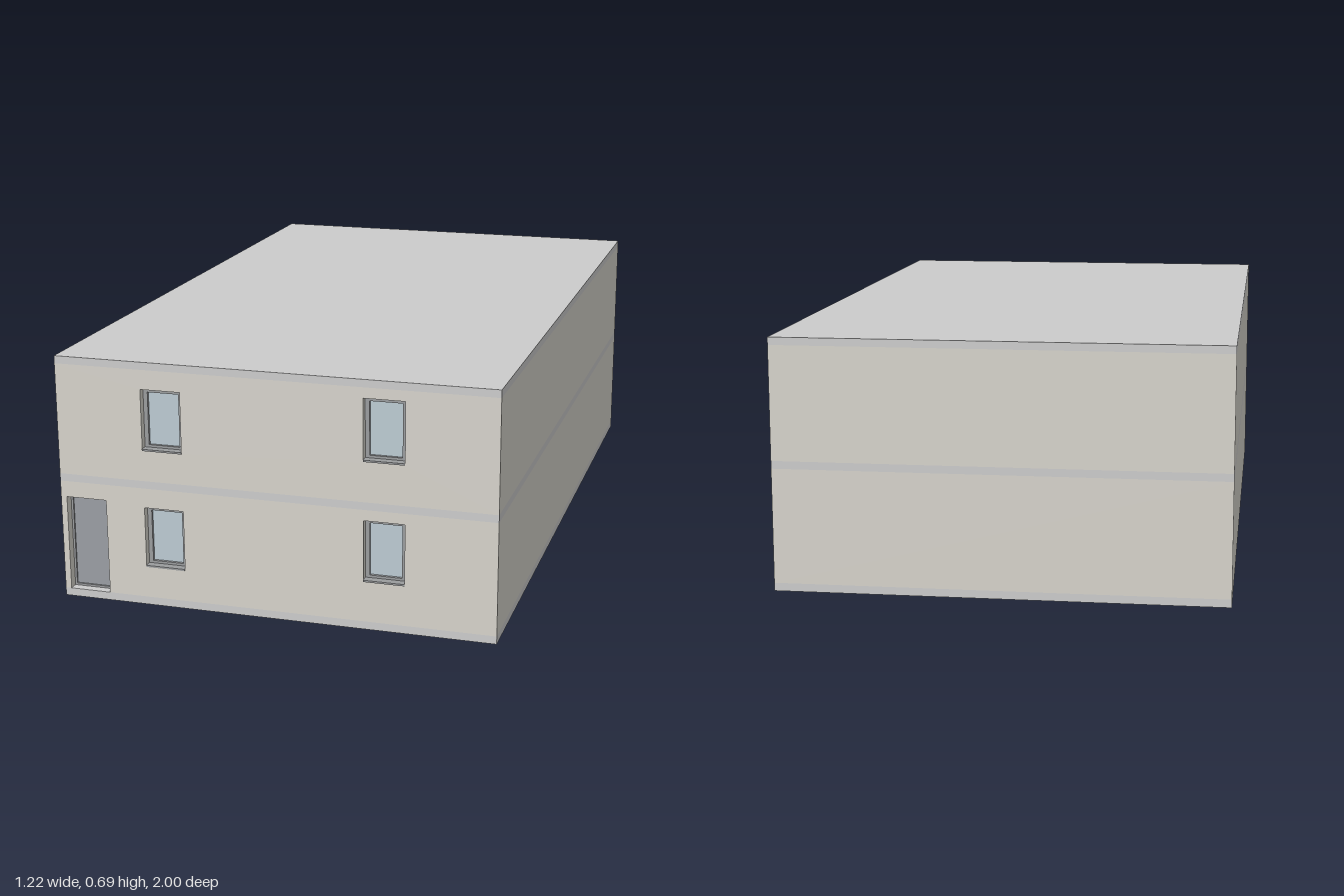
import * as THREE from 'three';

const W = 0.61, FRONT = 0.997, BACK = -1, T = 0.05;
const mat = (color) => new THREE.MeshStandardMaterial({ color });

export function createModel() {
  const model = new THREE.Group();
  const slabMat = mat(0xcccccc), wallMat = mat(0xd6d3cb), frameMat = mat(0x9a9c9e);
  const glassMat = mat(0xbccbd3), doorMat = mat(0x9a9ea4);

  // Box given by its two opposite corners
  const box = (name, m, x0, x1, y0, y1, z0, z1, parent = model) => {
    const mesh = new THREE.Mesh(new THREE.BoxGeometry(x1 - x0, y1 - y0, z1 - z0), m);
    mesh.position.set((x0 + x1) / 2, (y0 + y1) / 2, (z0 + z1) / 2);
    mesh.name = name;
    parent.add(mesh);
  };

  const rect = (Type, x0, x1, y0, y1) => new Type([
    new THREE.Vector2(x0, y0), new THREE.Vector2(x1, y0),
    new THREE.Vector2(x1, y1), new THREE.Vector2(x0, y1),
  ]);

  // Flat panel with rectangular holes, its front face at z
  const panel = (name, m, shape, depth, z, parent = model) => {
    const mesh = new THREE.Mesh(new THREE.ExtrudeGeometry(shape, { depth, bevelEnabled: false }), m);
    mesh.position.z = z - depth;
    mesh.name = name;
    parent.add(mesh);
  };

  // Floor slabs and roof
  box('groundSlab', slabMat, -W, W, 0, 0.022, BACK, FRONT);
  box('middleSlab', slabMat, -W, W, 0.335, 0.356, BACK, FRONT);
  box('roofSlab', slabMat, -W, W, 0.666, 0.687, BACK, FRONT);

  const door = { x0: -0.593, x1: -0.477, y0: 0.022, y1: 0.29 };
  const storeys = [
    { y0: 0.022, y1: 0.335, windows: [[-0.365, 0.11], [0.25, 0.135]], hasDoor: true },
    { y0: 0.356, y1: 0.666, windows: [[-0.365, 0.442], [0.25, 0.467]], hasDoor: false },
  ];
  const winW = 0.112, winH = 0.17;

  for (const { y0, y1, windows, hasDoor } of storeys) {
    // Back and side walls
    box('backWall', wallMat, -W, W, y0, y1, BACK, BACK + T);
    for (const s of [-1, 1]) {
      const xs = [s * W, s * (W - T)].sort((a, b) => a - b);
      // The door sits close to the corner, so the side walls are thin at the front
      box('sideWall', wallMat, xs[0], xs[1], y0, y1, BACK + T, FRONT - T);
    }

    // Front wall with openings; the doorway is a notch from the floor
    const wall = new THREE.Shape();
    wall.moveTo(-W, y0);
    if (hasDoor) {
      wall.lineTo(door.x0, y0);
      wall.lineTo(door.x0, door.y1);
      wall.lineTo(door.x1, door.y1);
      wall.lineTo(door.x1, y0);
    }
    wall.lineTo(W, y0);
    wall.lineTo(W, y1);
    wall.lineTo(-W, y1);
    for (const [x, y] of windows) wall.holes.push(rect(THREE.Path, x, x + winW, y, y + winH));
    panel('frontWall', wallMat, wall, T, FRONT);

    // Recessed windows: frame, pane and a slim sill
    for (const [x, y] of windows) {
      const win = new THREE.Group();
      win.name = 'window';
      const f = 0.012;
      const frame = rect(THREE.Shape, x, x + winW, y, y + winH);
      frame.holes.push(rect(THREE.Path, x + f, x + winW - f, y + f, y + winH - f));
      panel('windowFrame', frameMat, frame, 0.02, FRONT - 0.02, win);
      box('windowPane', glassMat, x + f, x + winW - f, y + f, y + winH - f, FRONT - 0.036, FRONT - 0.028, win);
      box('windowSill', frameMat, x, x + winW, y, y + 0.005, FRONT - 0.02, 1, win);
      model.add(win);
    }
  }

  // Recessed door with a narrow frame
  const { x0, x1, y0, y1 } = door, f = 0.006;
  const frame = rect(THREE.Shape, x0, x1, y0, y1);
  frame.holes.push(rect(THREE.Path, x0 + f, x1 - f, y0 + f, y1 - f));
  panel('doorFrame', frameMat, frame, 0.02, FRONT - 0.025);
  box('doorLeaf', doorMat, x0 + f, x1 - f, y0 + f, y1 - f, FRONT - 0.045, FRONT - 0.03);

  return model;
}
